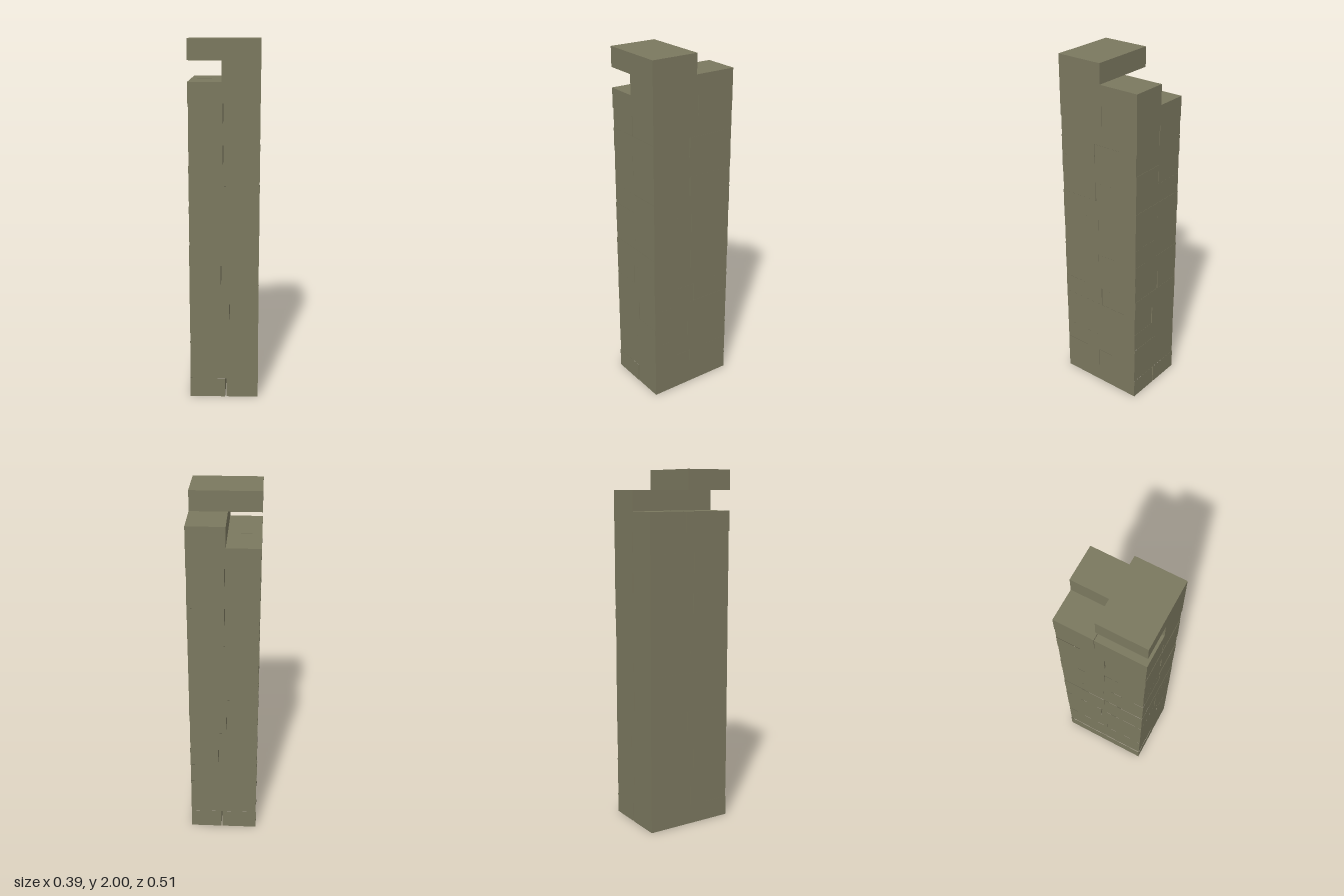
import * as THREE from 'three';

const HALF_X = 0.193, HALF_Z = 0.257, COURSE = 2 / 18;

// [seam position, seam gap] per course; even courses split in x, odd ones in z
const SEAMS = [
  [0.01, 0.008], [0.009, 0.002], [0.0, 0], [0.024, 0.002], [0.03, 0.006], [-0.015, 0.005],
  [-0.016, 0.006], [0.009, 0.002], [0.0, 0], [0.005, 0.002], [0.0, 0], [0.019, 0.005],
  [-0.006, 0.006], [0.024, 0.005], [-0.006, 0.006], [-0.03, 0.003], [-0.012, 0], [-0.018, 0],
];

let seed = 7;
function jitter() {
  seed = (seed * 16807) % 2147483647;
  return (seed / 2147483647) * 0.003;
}

// Hollow block: four walls, plus a top or underside only where it is exposed
function blockGeometry(w, d, top, bottom) {
  const g = new THREE.BoxGeometry(w, COURSE, d);
  const idx = Array.from(g.index.array);
  const keep = [
    ...idx.slice(0, 12),
    ...(top ? idx.slice(12, 18) : []),
    ...(bottom ? idx.slice(18, 24) : []),
    ...idx.slice(24, 36),
  ];
  g.clearGroups();
  g.setIndex(keep);
  return g;
}

export function createModel() {
  const model = new THREE.Group();
  model.name = 'blockTower';
  const stone = new THREE.MeshStandardMaterial({ color: 0x7b785f, side: THREE.DoubleSide });
  stone.name = 'oliveStone';

  SEAMS.forEach(([seam, gap], i) => {
    const course = new THREE.Group();
    course.name = 'course' + (i + 1);
    const alongZ = i % 2 === 0;

    for (const side of [-1, 1]) {
      // The two upper courses hold a single block each
      if (i >= 16 && side < 0) continue;
      const inset = i >= 15 ? () => 0 : jitter;
      let x0 = -HALF_X + inset(), x1 = HALF_X - inset();
      let z0 = -HALF_Z + inset(), z1 = HALF_Z - inset();
      const edge = seam + side * gap / 2;
      if (alongZ) {
        if (side > 0) x0 = edge; else x1 = edge;
      } else {
        if (side > 0) z0 = edge; else z1 = edge;
      }
      const block = new THREE.Mesh(blockGeometry(x1 - x0, z1 - z0, i >= 15, i === 17), stone);
      block.name = alongZ
        ? (side > 0 ? 'leftBlock' : 'rightBlock')
        : (side > 0 ? 'frontBlock' : 'backBlock');
      block.position.set((x0 + x1) / 2, (i + 0.5) * COURSE, (z0 + z1) / 2);
      course.add(block);
    }
    model.add(course);
  });
  return model;
}
